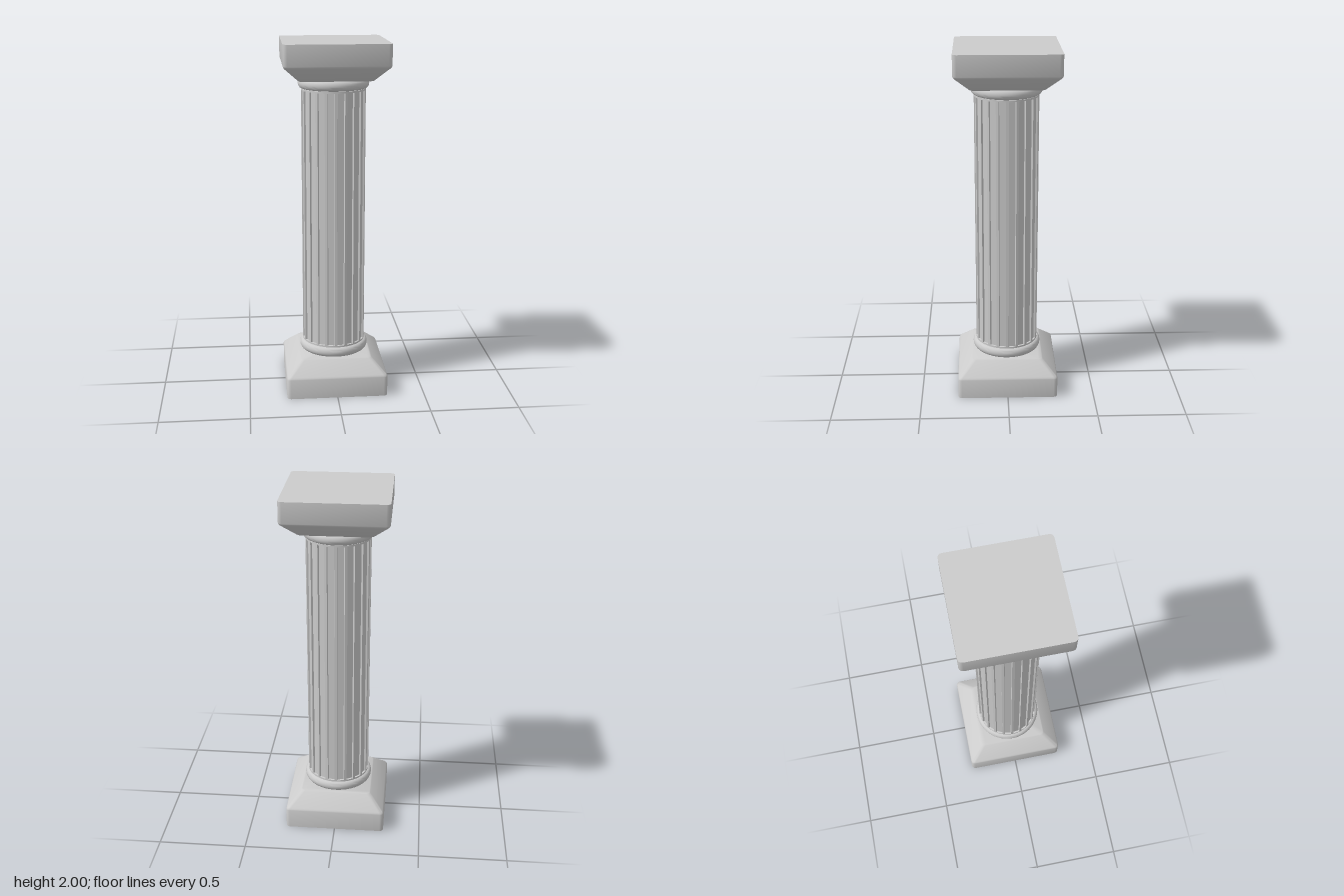
import * as THREE from 'three';
import { toCreasedNormals } from 'three/addons/utils/BufferGeometryUtils.js';

const stone = new THREE.MeshStandardMaterial({ color: 0xcccccc });

function part(name, geometry) {
  const mesh = new THREE.Mesh(geometry, stone);
  mesh.name = name;
  return mesh;
}

// Outline of a square with rounded corners, counter-clockwise seen from above
function roundedSquare(half, radius, steps = 3) {
  const points = [];
  for (let c = 0; c < 4; c++) {
    const mid = Math.PI / 4 + c * Math.PI / 2;
    const cx = Math.sign(Math.cos(mid)) * (half - radius);
    const cz = Math.sign(Math.sin(mid)) * (half - radius);
    for (let i = 0; i <= steps; i++) {
      const a = (c + i / steps) * Math.PI / 2;
      points.push([cx + radius * Math.cos(a), -(cz + radius * Math.sin(a))]);
    }
  }
  return points;
}

// Square block lofted through [half width, height] levels, capped at both ends
function blockGeometry(levels) {
  const pos = [], index = [];
  const n = roundedSquare(1, 0.1).length;
  for (const [half, y] of levels)
    for (const [x, z] of roundedSquare(half, 0.022)) pos.push(x, y, z);
  for (let l = 0; l < levels.length - 1; l++)
    for (let i = 0; i < n; i++) {
      const a = l * n + i, b = l * n + (i + 1) % n;
      index.push(a, b, b + n, a, b + n, a + n);
    }
  const last = (levels.length - 1) * n;
  for (let i = 1; i < n - 1; i++) {
    index.push(0, i + 1, i);
    index.push(last, last + i, last + i + 1);
  }
  const g = new THREE.BufferGeometry();
  g.setAttribute('position', new THREE.Float32BufferAttribute(pos, 3));
  g.setIndex(index);
  return toCreasedNormals(g, 0.6);
}

// Rounded ring with a plain collar that meets the shaft
function ringGeometry() {
  const profile = [new THREE.Vector2(0, 0.203)];
  for (let i = 0; i <= 10; i++) {
    const a = -Math.PI / 2 + i / 10 * Math.PI;
    profile.push(new THREE.Vector2(0.176 + 0.022 * Math.cos(a), 0.233 + 0.028 * Math.sin(a)));
  }
  profile.push(new THREE.Vector2(0.18, 0.262), new THREE.Vector2(0.18, 0.272), new THREE.Vector2(0.15, 0.272));
  return toCreasedNormals(new THREE.LatheGeometry(profile, 60), 0.6);
}

// Fluted shaft: narrow ridges between shallow flat-bottomed grooves
function shaftGeometry(y0, y1) {
  const flutes = 20, step = 2 * Math.PI / flutes, points = [];
  const ridge = 0.18, groove = 0.17;
  for (let i = 0; i < flutes; i++)
    for (const [r, t] of [[groove, -0.17], [ridge, -0.13], [ridge, 0.13], [groove, 0.17]]) {
      const a = (i + t) * step;
      points.push(new THREE.Vector2(r * Math.cos(a), r * Math.sin(a)));
    }
  const g = new THREE.ExtrudeGeometry(new THREE.Shape(points), { depth: y1 - y0, bevelEnabled: false });
  g.rotateX(-Math.PI / 2);
  g.translate(0, y0, 0);
  return g;
}

export function createModel() {
  const model = new THREE.Group();
  model.name = 'column';

  const block = blockGeometry([[0.288, 0], [0.288, 0.115], [0.286, 0.121], [0.281, 0.128], [0.206, 0.2], [0.2, 0.204]]);
  const ring = ringGeometry();

  // The base, and the same parts turned over as the capital
  const base = new THREE.Group();
  base.name = 'base';
  base.add(part('plinth', block), part('baseRing', ring));

  const capital = new THREE.Group();
  capital.name = 'capital';
  capital.add(part('abacus', block), part('neckRing', ring));
  capital.rotation.x = Math.PI;
  capital.position.y = 2;

  model.add(base, part('shaft', shaftGeometry(0.265, 1.735)), capital);
  return model;
}
